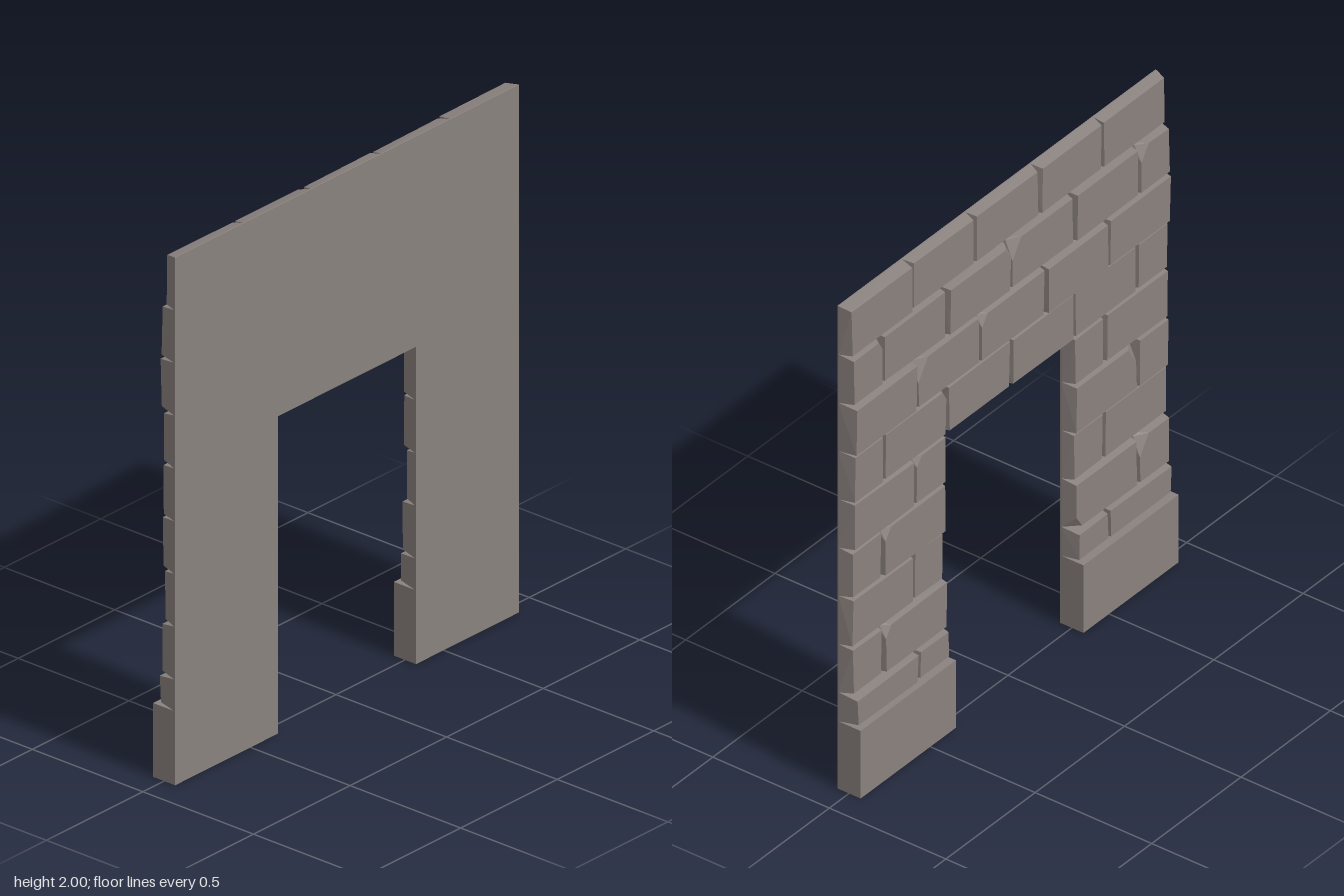
import * as THREE from 'three';
import { ConvexGeometry } from 'three/addons/geometries/ConvexGeometry.js';

const HALF = 0.89, DOOR = 0.357, DOOR_TOP = 1.203, BACK = 0.05, SEAM = 0.045, BASE = 0.28;

function seeded(seed) {
  return () => (seed = (seed * 16807) % 2147483647) / 2147483647;
}

// Tapered stone facing -x; chips maps a corner index (0 low -z, 1 low +z, 2 high +z, 3 high -z) to its size
function stoneGeometry(z0, z1, y0, y1, face, rand, chips = {}) {
  const corners = [[z0, y0, 1, 1], [z1, y0, -1, 1], [z1, y1, -1, -1], [z0, y1, 1, -1]];
  const pts = [];
  corners.forEach(([z, y, sz, sy], i) => {
    pts.push(new THREE.Vector3(SEAM, y, z));
    const fz = z + sz * (0.006 + rand() * 0.008);
    const fy = y + sy * (0.006 + rand() * 0.006);
    const c = chips[i];
    if (c) {
      pts.push(new THREE.Vector3(face, fy, fz + sz * c));
      pts.push(new THREE.Vector3(face, fy + sy * c * 1.5, fz));
      pts.push(new THREE.Vector3(face + 0.03, fy, fz));
    } else {
      pts.push(new THREE.Vector3(face, fy, fz));
    }
  });
  return new ConvexGeometry(pts);
}

export function createModel() {
  const model = new THREE.Group();
  model.name = 'stoneDoorwayWall';
  const material = new THREE.MeshStandardMaterial({ color: 0x8a827e, flatShading: true });
  const rand = seeded(417);
  const add = (geometry, name, parent = model) => {
    const mesh = new THREE.Mesh(geometry, material);
    mesh.name = name;
    parent.add(mesh);
    return mesh;
  };

  // Smooth backing panel with the doorway cut out
  const outline = new THREE.Shape([
    [-HALF, 0], [-DOOR, 0], [-DOOR, DOOR_TOP], [DOOR, DOOR_TOP],
    [DOOR, 0], [HALF, 0], [HALF, 2], [-HALF, 2],
  ].map(([z, y]) => new THREE.Vector2(z, y)));
  const panel = new THREE.ExtrudeGeometry(outline, { depth: BACK - SEAM, bevelEnabled: false });
  panel.rotateY(-Math.PI / 2); // shape x becomes +z, thickness runs to -x
  panel.translate(BACK, 0, 0);
  add(panel, 'backPanel');

  // Plinth blocks at the foot of each pier
  for (const side of [-1, 1]) {
    const plinth = add(new THREE.BoxGeometry(0.1, BASE, HALF - DOOR), side < 0 ? 'plinthBack' : 'plinthFront');
    plinth.position.set(0, BASE / 2, side * (HALF + DOOR) / 2);
  }

  // Running-bond courses, numbered from the top; joints alternate by half a stone
  const evenJoints = [-HALF, -0.535, -0.18, 0.185, 0.535, HALF];
  const oddJoints = [-HALF, -0.712, -DOOR, 0, DOOR, 0.712, HALF];
  const endFace = [0, -0.014, -0.024, -0.013, -0.013, -0.013, -0.004, -0.013, -0.03];
  const chipped = {
    '1,2': { 2: 0.03 }, '1,3': { 3: 0.05 }, '1,5': { 3: 0.04 }, '1,0': { 2: 0.025 },
    '2,1': { 3: 0.055 }, '2,2': { 3: 0.03 }, '3,1': { 2: 0.025 },
    '4,1': { 3: 0.025 }, '5,4': { 2: 0.045 }, '5,1': { 3: 0.03 },
    '7,5': { 3: 0.05 }, '7,1': { 3: 0.03 }, '7,4': { 0: 0.03 },
  };
  for (let row = 0; row < 9; row++) {
    const course = new THREE.Group();
    course.name = 'course' + (row + 1);
    model.add(course);
    const y1 = 2 - row * 0.2;
    const y0 = row === 8 ? BASE : y1 - 0.2;
    const joints = row % 2 ? oddJoints : evenJoints;
    for (let i = 0; i < joints.length - 1; i++) {
      let z0 = joints[i], z1 = joints[i + 1];
      // Trim the stones to the doorway
      if (row > 3) {
        if (z0 >= -DOOR && z1 <= DOOR) continue;
        if (z0 < 0) z1 = Math.min(z1, -DOOR);
        else z0 = Math.max(z0, DOOR);
      }
      const face = endFace[row] + (rand() - 0.5) * 0.012;
      add(stoneGeometry(z0, z1, y0, y1, face, rand, chipped[row + ',' + i]), 'stone', course);
    }
  }
  return model;
}
